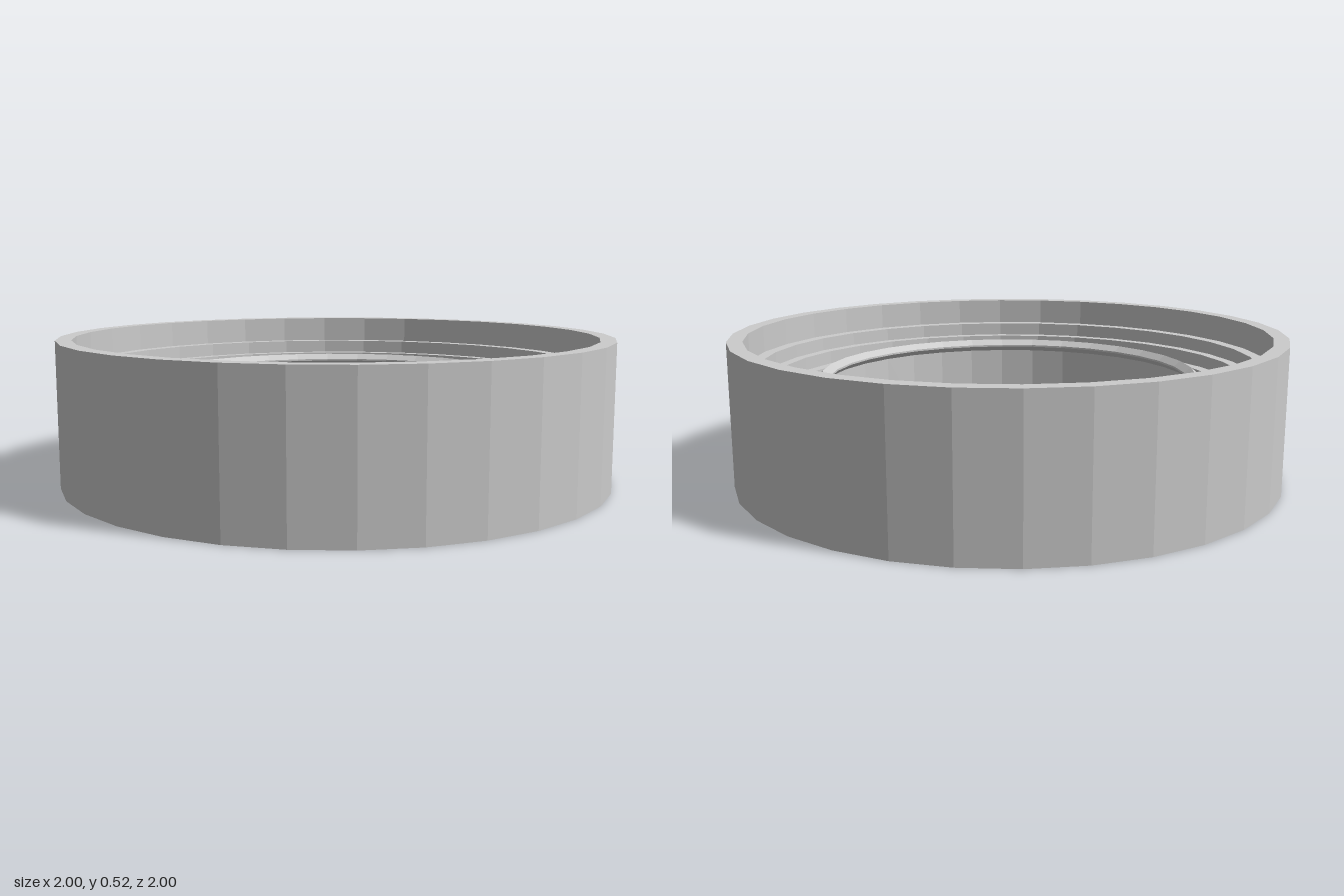
import * as THREE from 'three';

const SIDES = 32;

export function createModel() {
  const group = new THREE.Group();
  const material = new THREE.MeshStandardMaterial({
    color: 0xcccccc, flatShading: true, side: THREE.DoubleSide,
  });

  // Revolves a list of [radius, height] points into a thin faceted shell
  function revolve(name, profile) {
    const points = profile.map(([r, y]) => new THREE.Vector2(r, y));
    const mesh = new THREE.Mesh(new THREE.LatheGeometry(points, SIDES), material);
    mesh.name = name;
    group.add(mesh);
  }

  // Outer wall, open below, with its flat top rim
  revolve('outerWall', [[1, 0], [1, 0.52], [0.945, 0.52]]);

  // Steps descending inward from the rim to the channel floor
  const steps = [[0.945, 0.52]];
  const radii = [0.945, 0.9, 0.86, 0.815, 0.7];
  for (let i = 0; i < 4; i++) {
    const y = 0.42 - i * 0.05;
    steps.push([radii[i], y], [radii[i + 1], y]);
  }
  revolve('steppedChannel', steps);

  // Raised collar with a bevelled lip
  revolve('collarLip', [
    [0.7, 0.27], [0.7, 0.365], [0.68, 0.382], [0.655, 0.362], [0.655, 0.355], [0.68, 0.335],
  ]);

  // Inner sleeve hanging below the collar, turned in at its lower edge
  revolve('innerSleeve', [[0.68, 0.335], [0.68, 0.105], [0.655, 0.09]]);

  return group;
}
